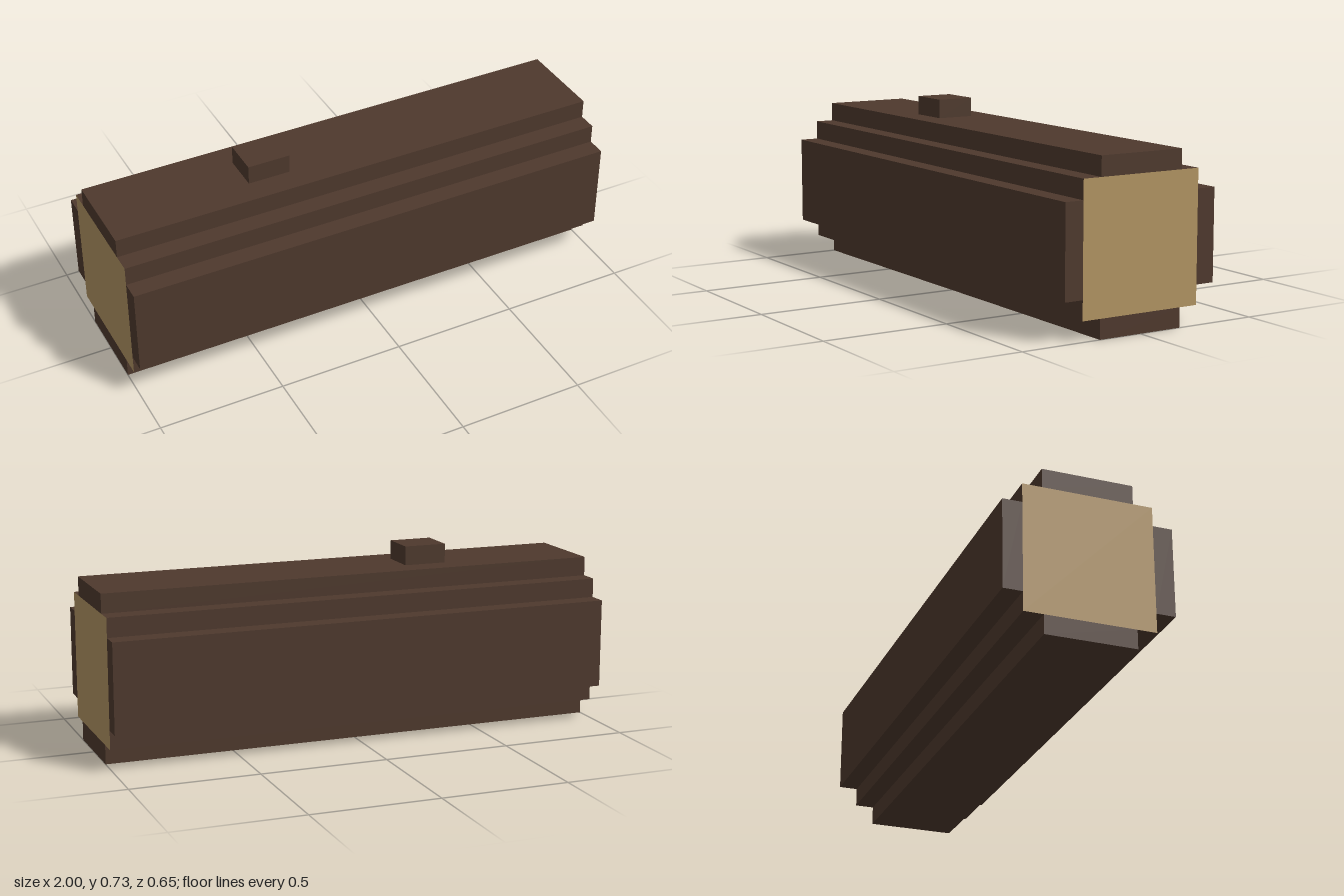
import * as THREE from 'three';

export function createModel() {
  const bark = new THREE.MeshStandardMaterial({ color: 0x4e392d });
  bark.name = 'bark brown';
  const wood = new THREE.MeshStandardMaterial({ color: 0xb09362 });
  wood.name = 'cut wood tan';

  const log = new THREE.Group();
  log.name = 'log';

  // Box given by its size and centre
  function box(name, [w, h, d], [x, y, z], material = bark) {
    const mesh = new THREE.Mesh(new THREE.BoxGeometry(w, h, d), material);
    mesh.name = name;
    mesh.position.set(x, y, z);
    log.add(mesh);
  }

  const length = 2, core = 0.5, slab = 0.35, t = 0.075;
  const midY = t + core / 2;
  const offset = (core + t) / 2;

  // Square core with cut wood on both ends
  box('core', [length, core, core], [0, midY, 0], [wood, wood, bark, bark, bark, bark]);

  // Bark slabs on the four long sides
  for (const s of [1, -1]) {
    box(s > 0 ? 'topBark' : 'bottomBark', [length, t, slab], [0, midY + s * offset, 0]);
    box(s > 0 ? 'frontBark' : 'backBark', [length, slab, t], [0, midY, s * offset]);
  }

  // Small branch stub on top
  box('branchStub', [0.17, t, 0.15], [-0.34, core + 2.5 * t, 0]);

  return log;
}
